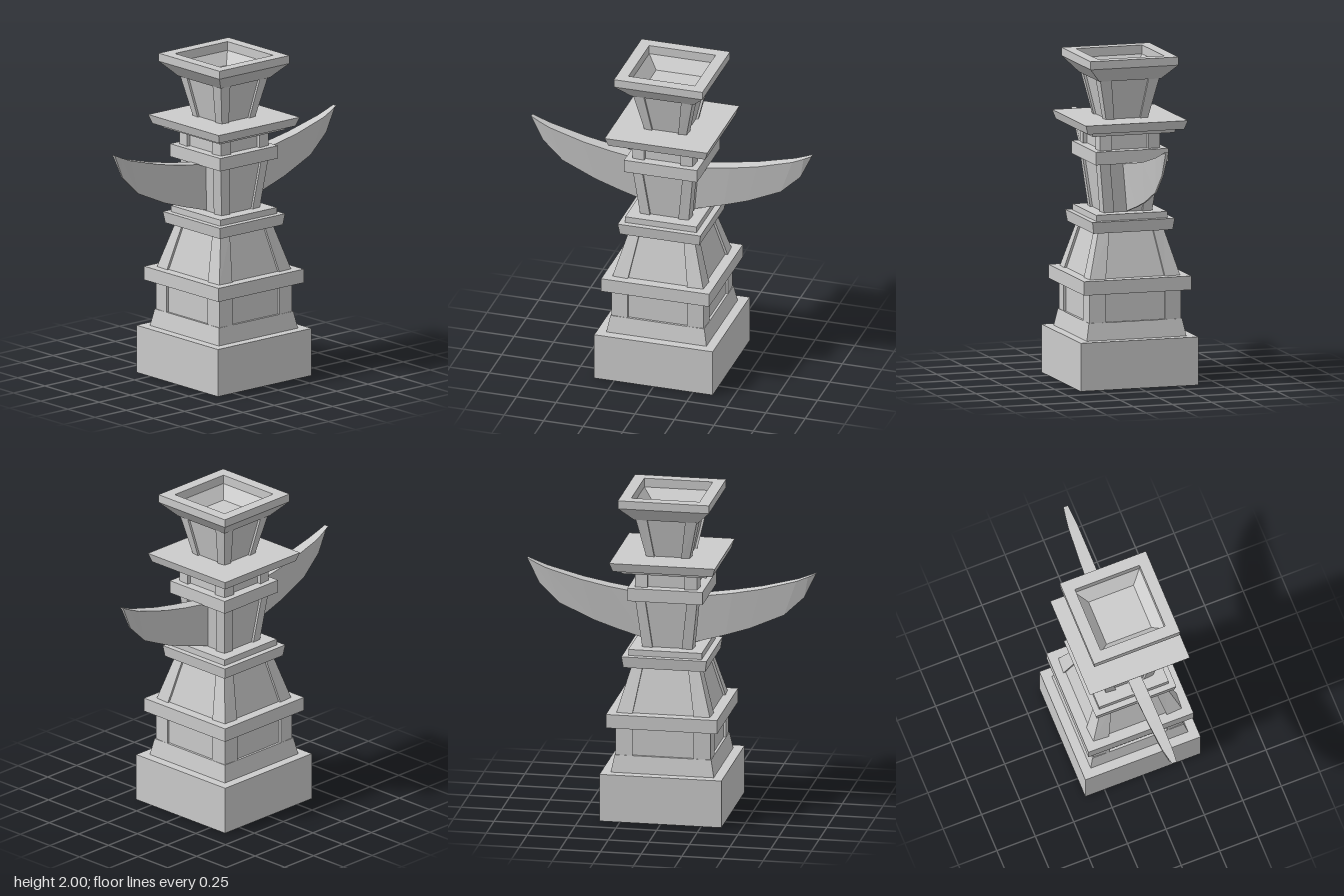
import * as THREE from 'three';

const material = new THREE.MeshStandardMaterial({ color: 0xcccccc, flatShading: true });

// Square solid turned from a [halfWidth, y] profile, listed bottom to top on the outside
function square(name, profile) {
  const points = profile.map(([h, y]) => new THREE.Vector2(h * Math.SQRT2, y));
  const mesh = new THREE.Mesh(new THREE.LatheGeometry(points, 4, Math.PI / 4), material);
  mesh.name = name;
  return mesh;
}

// Plain slab, closed top and bottom
const slab = (name, y0, y1, h0, h1 = h0) =>
  square(name, [[0, y0], [h0, y0], [h1, y1], [0, y1]]);

// Skin between rings running counter-clockwise seen from the last ring, ends capped by fans
function loft(name, rings) {
  const n = rings[0].length;
  const index = [];
  for (let r = 0; r < rings.length - 1; r++) {
    for (let i = 0; i < n; i++) {
      const a = r * n + i, b = r * n + (i + 1) % n;
      index.push(a, b, b + n, a, b + n, a + n);
    }
  }
  const last = (rings.length - 1) * n;
  for (let i = 1; i < n - 1; i++) {
    index.push(0, i + 1, i, last, last + i, last + i + 1);
  }
  const geometry = new THREE.BufferGeometry();
  geometry.setAttribute('position', new THREE.Float32BufferAttribute(rings.flat(2), 3));
  geometry.setIndex(index);
  geometry.computeVertexNormals();
  const mesh = new THREE.Mesh(geometry, material);
  mesh.name = name;
  return mesh;
}

// Square outline with a recess of half width p in each side; post faces lean in slightly at the corner
function notchedRing(h, p, y, depth) {
  const corner = h - 0.006;
  const side = [[corner, corner], [p, h], [p, h - depth], [-p, h - depth], [-p, h]];
  const ring = [];
  for (let k = 0; k < 4; k++) {
    const c = Math.round(Math.cos(k * Math.PI / 2)), s = Math.round(Math.sin(k * Math.PI / 2));
    for (const [x, z] of side) ring.push([x * c - z * s, y, x * s + z * c]);
  }
  return ring.reverse();
}

// Tier with corner posts and recessed panels
const panelled = (name, y0, y1, h0, h1, p0, p1, depth = 0.015) =>
  loft(name, [notchedRing(h0, p0, y0, depth), notchedRing(h1, p1, y1, depth)]);

// Curved blade: thick along the top edge, thin along the bottom
function wing(name, side) {
  // [top x, top y, bottom x, bottom y, half thickness at top]
  const stations = [
    [0.12, 1.345, 0.10, 1.035, 0.042],
    [0.20, 1.355, 0.16, 1.055, 0.042],
    [0.38, 1.382, 0.33, 1.105, 0.042],
    [0.55, 1.415, 0.48, 1.155, 0.039],
    [0.77, 1.475, 0.69, 1.25, 0.030],
    [0.84, 1.504, 0.815, 1.37, 0.022],
    [0.888, 1.526, 0.884, 1.515, 0.015],
  ];
  const rings = stations.map(([tx, ty, bx, by, t]) => {
    const ring = [[tx, ty, t], [tx, ty, -t], [bx, by, -0.005], [bx, by, 0.005]]
      .map(([x, y, z]) => [x * side, y, z]);
    return side > 0 ? ring.reverse() : ring;
  });
  return loft(name, rings);
}

export function createModel() {
  const model = new THREE.Group();
  model.name = 'totemPillar';
  model.add(
    // Base
    slab('plinth', 0, 0.295, 0.375),
    slab('plinthSkirt', 0.295, 0.4, 0.317, 0.297),
    panelled('lowerPanels', 0.4, 0.58, 0.297, 0.297, 0.188, 0.188),
    slab('lowerBand', 0.58, 0.665, 0.342),
    // Tapered trunk
    panelled('taperedTrunk', 0.665, 0.94, 0.293, 0.215, 0.188, 0.14),
    slab('trunkBand', 0.94, 1.01, 0.252, 0.262),
    slab('trunkLedge', 1.01, 1.048, 0.226),
    // Winged body
    panelled('wingedBody', 1.048, 1.355, 0.16, 0.196, 0.09, 0.128),
    slab('bodyBand', 1.355, 1.435, 0.231),
    panelled('neck', 1.435, 1.54, 0.196, 0.196, 0.115, 0.115, 0.025),
    slab('roofStep', 1.535, 1.56, 0.26, 0.268),
    slab('roofSlab', 1.56, 1.615, 0.307, 0.325),
    // Head and hollow cap
    panelled('head', 1.615, 1.862, 0.14, 0.194, 0.083, 0.118),
    square('hollowCap', [
      [0, 1.86], [0.197, 1.86], [0.28, 1.95], [0.28, 2],
      [0.21, 2], [0.21, 1.945], [0.146, 1.875], [0, 1.875],
    ]),
    wing('leftWing', 1),
    wing('rightWing', -1),
  );
  return model;
}
